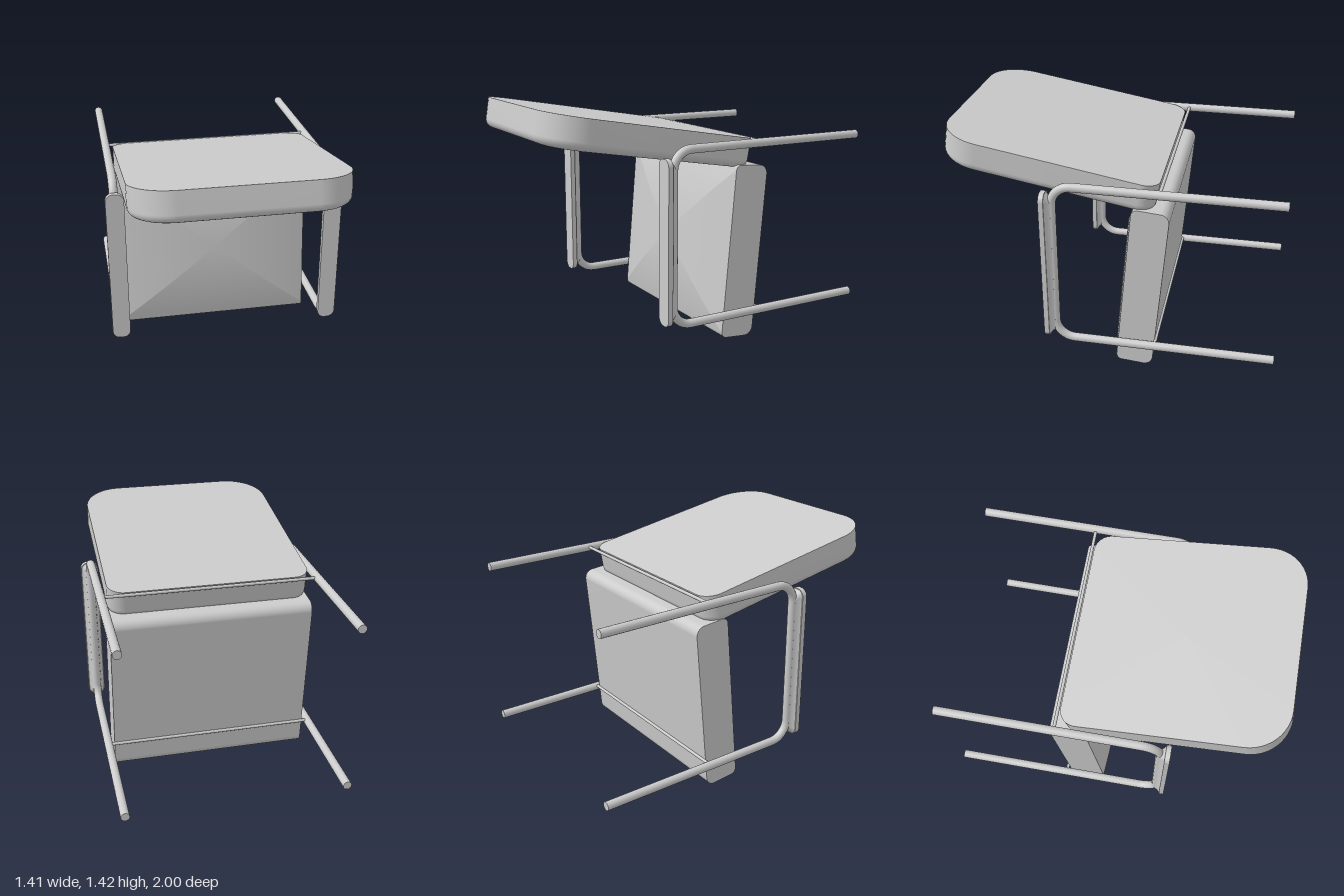
import * as THREE from 'three';
import { mergeGeometries } from 'three/addons/utils/BufferGeometryUtils.js';
import { ParametricGeometry } from 'three/addons/geometries/ParametricGeometry.js';

const material = new THREE.MeshStandardMaterial({ color: 0xcccccc });

function addMesh(parent, name, geometry) {
  const mesh = new THREE.Mesh(geometry, material);
  mesh.name = name;
  parent.add(mesh);
  return mesh;
}

// Closed rounded rectangle in the xz plane at height y, with its own radii at the +z and -z ends
function ring(halfX, halfZ, rFront, rRear, y, inset = 0) {
  const a = halfX - inset, b = halfZ - inset, steps = 12;
  const points = [new THREE.Vector3(a, y, 0)];
  [[1, 1], [-1, 1], [-1, -1], [1, -1]].forEach(([sx, sz], corner) => {
    const r = (sz > 0 ? rFront : rRear) - inset;
    for (let i = 0; i <= steps; i++) {
      const t = (corner + i / steps) * Math.PI / 2;
      points.push(new THREE.Vector3(
        sx * (a - r) + r * Math.cos(t), y, sz * (b - r) + r * Math.sin(t)));
    }
  });
  points.push(points[0].clone());
  return points;
}

// Smooth skin through rings listed from top to bottom
function skin(rings) {
  const n = rings[0].length, index = [];
  for (let j = 0; j < rings.length - 1; j++) {
    for (let i = 0; i < n - 1; i++) {
      const a = j * n + i, b = a + n;
      index.push(a, a + 1, b, a + 1, b + 1, b);
    }
  }
  const g = new THREE.BufferGeometry().setFromPoints(rings.flat());
  g.setIndex(index);
  g.computeVertexNormals();
  return g;
}

// Closed slab: smooth walls and flat caps
function slab(walls) {
  const top = walls[0], bottom = walls[walls.length - 1];
  const centre = r => r.map(p => new THREE.Vector3(0, p.y, 0));
  return mergeGeometries([skin([centre(top), top]), skin(walls), skin([bottom, centre(bottom)])]);
}

// One quarter of the padded front, rising to the middle
function padQuarter(halfWidth, reach, height) {
  return new ParametricGeometry((u, v, target) => {
    const s = 0.001 + 0.999 * v;
    target.set(halfWidth * s * (2 * u - 1), reach * s, height * (1 - s * s));
  }, 8, 16);
}

export function createModel() {
  const model = new THREE.Group();
  model.name = 'chair';

  // Upper cushion: sharp upper rim, rounded lower rim
  const walls = [ring(0.608, 0.645, 0.24, 0.1, 0)];
  const round = 0.05, thickness = 0.18;
  for (let i = 0; i <= 6; i++) {
    const t = (i / 6) * Math.PI / 2;
    walls.push(ring(0.608, 0.645, 0.24, 0.1,
      -thickness + round * (1 - Math.sin(t)), round * (1 - Math.cos(t))));
  }
  const upper = addMesh(model, 'upperCushion', slab(walls));
  upper.position.set(-0.004, 1.31, 0.345);
  upper.rotation.x = -0.171;

  // Lower cushion: rounded block with a padded front
  const lower = new THREE.Group();
  lower.name = 'lowerCushion';
  lower.position.set(0.003, 0.53, -0.207);
  lower.rotation.x = -0.085;
  model.add(lower);
  const w = 0.61, h = 0.495;
  const profile = y => ring(0.524, 0.11, 0.035, 0.055, y);
  addMesh(lower, 'cushionBlock', slab([profile(w), profile(-w)]).rotateZ(Math.PI / 2));
  const quarters = [];
  for (let k = 0; k < 4; k++) {
    const g = k % 2 ? padQuarter(h, w, 0.068) : padQuarter(w, h, 0.068);
    quarters.push(g.rotateZ(k * Math.PI / 2));
  }
  addMesh(lower, 'cushionPadding', mergeGeometries(quarters).translate(0, 0, 0.11));

  // Bent side tubes with long pads
  const yTop = 1.187, yLow = 0.171, zBend = 0.307, r = 0.115, tubeRadius = 0.026;
  const v = (y, z) => new THREE.Vector3(0, y, z);
  const path = new THREE.CurvePath();
  path.add(new THREE.LineCurve3(v(yTop, -1), v(yTop, zBend - r)));
  path.add(new THREE.CubicBezierCurve3(v(yTop, zBend - r), v(yTop, zBend - r * 0.45),
    v(yTop - r * 0.45, zBend), v(yTop - r, zBend)));
  path.add(new THREE.LineCurve3(v(yTop - r, zBend), v(yLow + r, zBend)));
  path.add(new THREE.CubicBezierCurve3(v(yLow + r, zBend), v(yLow + r * 0.45, zBend),
    v(yLow, zBend - r * 0.45), v(yLow, zBend - r)));
  path.add(new THREE.LineCurve3(v(yLow, zBend - r), v(yLow, -1)));

  for (const side of [-1, 1]) {
    const frame = new THREE.Group();
    frame.name = side > 0 ? 'leftSideFrame' : 'rightSideFrame';
    frame.position.x = side * 0.65;
    model.add(frame);
    addMesh(frame, 'sideTube', new THREE.TubeGeometry(path, 160, tubeRadius, 16));
    for (const y of [yTop, yLow]) {
      const cap = addMesh(frame, 'tubeEnd', new THREE.CircleGeometry(tubeRadius, 16));
      cap.position.set(0, y, -1);
      cap.rotation.y = Math.PI;
    }
    const padRing = y => ring(0.054, 0.48, 0.045, 0.045, y);
    const pad = addMesh(frame, 'sidePad',
      slab([padRing(0.03), padRing(0)]).rotateX(Math.PI / 2));
    pad.position.set(0, 0.665, 0.338);
    // Flared mount between tube and pad
    const mount = addMesh(frame, 'padMount', slab([
      ring(0.05, 0.476, 0.04, 0.04, 0.033),
      ring(0.034, 0.46, 0.03, 0.03, 0.02),
      ring(0.026, 0.44, 0.025, 0.025, 0),
    ]).rotateX(Math.PI / 2));
    mount.position.set(0, 0.665, 0.306);
  }

  // Thin cross rods carrying the cushions
  for (const [y, z] of [[1.19, -0.305], [0.18, -0.292]]) {
    const rod = addMesh(model, 'crossRod', new THREE.CylinderGeometry(0.01, 0.01, 1.26, 12));
    rod.rotation.z = Math.PI / 2;
    rod.position.set(0, y, z);
  }
  return model;
}
